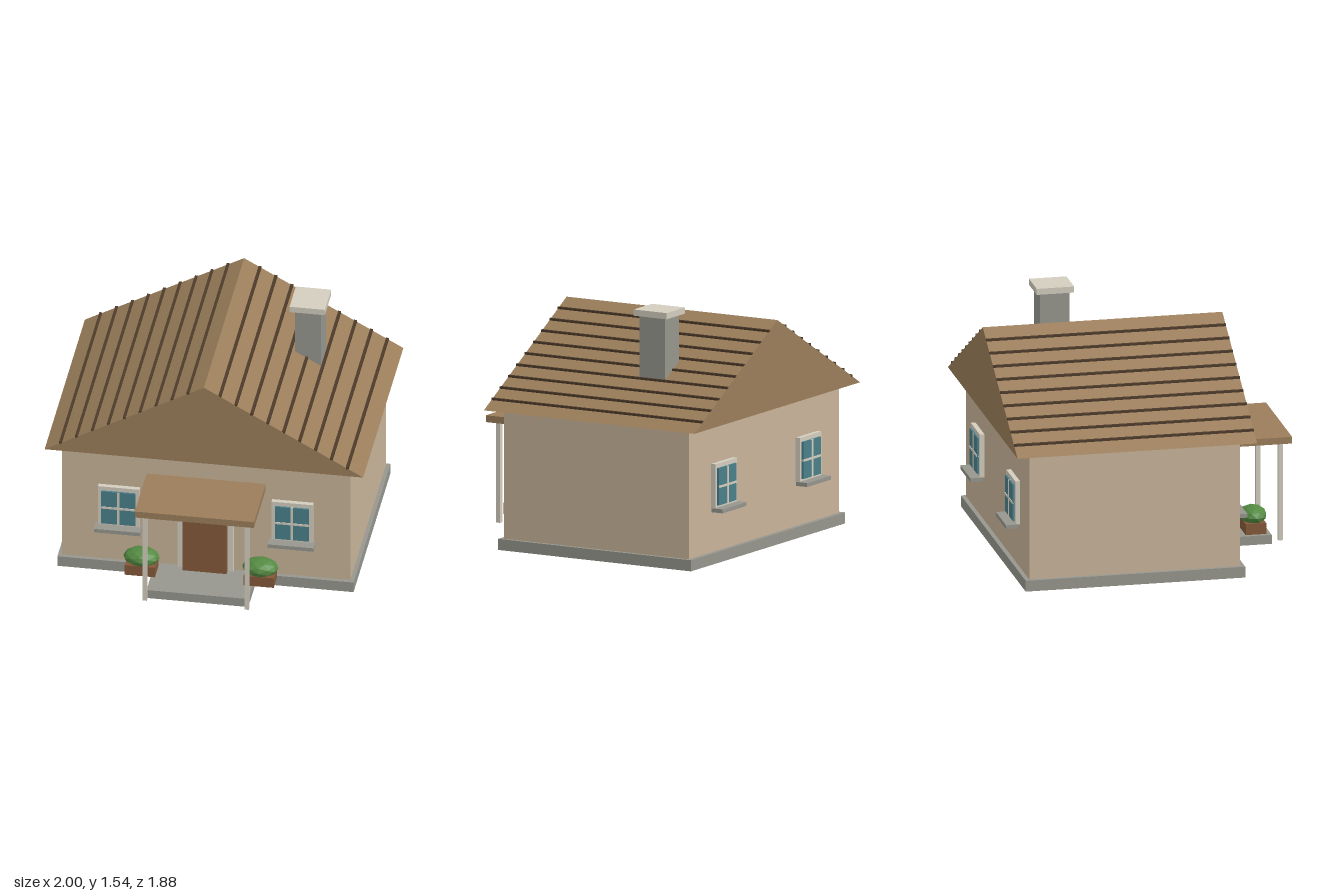
import * as THREE from 'three';

const mat = (color, flatShading = false) => new THREE.MeshStandardMaterial({ color, flatShading });
const M = {
  wall: mat(0xc8b399), roof: mat(0x9a7d5a), rib: mat(0x4d3b2a), stone: mat(0x96968e),
  trim: mat(0xd3cdbe), wood: mat(0x84593a), glass: mat(0x4a7f8a), leaf: mat(0x548a42, true),
};

// Box given by its extents along each axis
function box(parent, name, material, [x0, x1], [y0, y1], [z0, z1]) {
  const mesh = new THREE.Mesh(new THREE.BoxGeometry(x1 - x0, y1 - y0, z1 - z0), material);
  mesh.position.set((x0 + x1) / 2, (y0 + y1) / 2, (z0 + z1) / 2);
  mesh.name = name;
  parent.add(mesh);
  return mesh;
}

// Window facing +z, with its back at z = 0 and its middle at the origin
function makeWindow() {
  const g = new THREE.Group();
  g.name = 'window';
  box(g, 'windowFrame', M.trim, [-0.13, 0.13], [-0.135, 0.145], [0, 0.03]);
  box(g, 'windowPane', M.glass, [-0.107, 0.107], [-0.117, 0.117], [0.03, 0.042]);
  box(g, 'verticalBar', M.trim, [-0.008, 0.008], [-0.117, 0.117], [0.03, 0.046]);
  box(g, 'horizontalBar', M.trim, [-0.107, 0.107], [-0.007, 0.007], [0.03, 0.046]);
  box(g, 'windowSill', M.stone, [-0.145, 0.145], [-0.156, -0.131], [0.012, 0.092]);
  return g;
}

// Planter box with a faceted bush
function makePlanter() {
  const g = new THREE.Group();
  g.name = 'planter';
  box(g, 'planterBox', M.wood, [-0.095, 0.095], [0.13, 0.2], [-0.065, 0.065]);
  const bush = new THREE.Mesh(new THREE.IcosahedronGeometry(1, 1), M.leaf);
  bush.name = 'bush';
  bush.scale.set(0.114, 0.057, 0.086);
  bush.position.y = 0.235;
  g.add(bush);
  return g;
}

export function createModel() {
  const house = new THREE.Group();
  house.name = 'house';

  // Base and walls
  box(house, 'foundation', M.stone, [-0.93, 0.93], [0, 0.07], [-0.873, 0.52]);
  box(house, 'walls', M.wall, [-0.905, 0.905], [0.07, 0.885], [-0.845, 0.493]);

  // Gable roof
  const eave = 0.885, ridge = 1.44, zBack = -0.94, zFront = 0.58;
  const gable = new THREE.Shape([
    new THREE.Vector2(-1, eave), new THREE.Vector2(1, eave), new THREE.Vector2(0, ridge),
  ]);
  const roof = new THREE.Mesh(
    new THREE.ExtrudeGeometry(gable, { depth: zFront - zBack, bevelEnabled: false }), M.roof);
  roof.name = 'roof';
  roof.position.z = zBack;
  house.add(roof);

  // Ribs along both slopes
  for (const side of [-1, 1]) {
    for (let i = 1; i <= 9; i++) {
      const x = side * i * 0.1;
      const y = ridge - Math.abs(x) * (ridge - eave) + 0.002;
      box(house, 'roofRib', M.rib, [x - 0.009, x + 0.009], [y - 0.007, y + 0.007], [zBack, zFront]);
    }
  }

  // Chimney
  box(house, 'chimney', M.stone, [0.425, 0.59], [1.05, 1.505], [-0.483, -0.297]);
  box(house, 'chimneyCap', M.trim, [0.396, 0.618], [1.503, 1.542], [-0.51, -0.272]);

  // Door
  box(house, 'door', M.wood, [-0.139, 0.139], [0.075, 0.588], [0.52, 0.56]);
  box(house, 'doorFrame', M.trim, [-0.174, 0.174], [0.05, 0.62], [0.49, 0.527]);
  box(house, 'doorLintel', M.trim, [-0.174, 0.174], [0.588, 0.62], [0.5, 0.543]);

  // Porch
  box(house, 'porchSlab', M.stone, [-0.32, 0.32], [0.017, 0.075], [0.526, 0.823]);
  box(house, 'porchRoof', M.roof, [-0.374, 0.374], [0.675, 0.718], [0.49, 0.94]);

  // Paired parts on each side
  for (const side of [-1, 1]) {
    const x = side * 0.32;
    box(house, 'porchPost', M.trim, [x - 0.014, x + 0.014], [0.04, 0.676], [0.862, 0.891]);

    const planter = makePlanter();
    planter.position.set(side * 0.373, 0, 0.69);
    house.add(planter);

    const front = makeWindow();
    front.position.set(side * 0.545, 0.468, 0.494);
    house.add(front);

    const back = makeWindow();
    back.position.set(side * 0.51, 0.483, -0.845);
    back.rotation.y = Math.PI;
    house.add(back);
  }
  return house;
}
